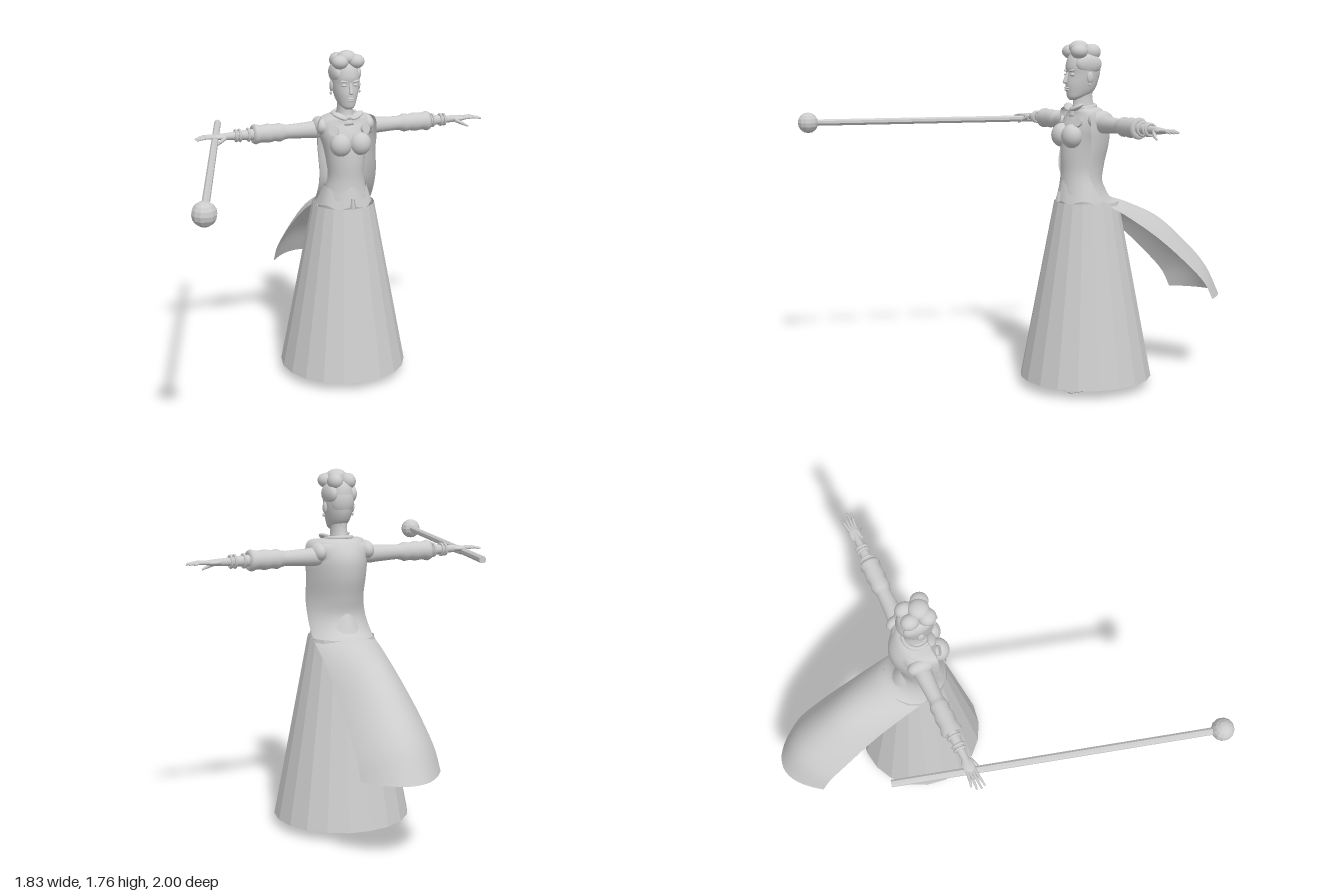
import * as THREE from 'three';
import { toCreasedNormals } from 'three/addons/utils/BufferGeometryUtils.js';

const clay = new THREE.MeshStandardMaterial({ color: 0xcccccc, side: THREE.DoubleSide });
clay.name = 'clay grey';
const V = (x, y, z) => new THREE.Vector3(x, y, z);

function add(parent, name, geometry, x = 0, y = 0, z = 0) {
  const m = new THREE.Mesh(geometry, clay);
  m.name = name;
  m.position.set(x, y, z);
  parent.add(m);
  return m;
}

// faceted look stored in the normals
function flat(geometry) {
  const g = geometry.toNonIndexed();
  g.computeVertexNormals();
  return g;
}

// ellipsoid
function blob(parent, name, x, y, z, rx, ry, rz) {
  return add(parent, name, new THREE.SphereGeometry(1, 24, 16).scale(rx, ry, rz), x, y, z);
}

// tapered limb between two points
function limb(parent, name, p, q, r1, r2, sides = 10) {
  const dir = q.clone().sub(p);
  const m = add(parent, name, new THREE.CylinderGeometry(r2, r1, dir.length(), sides));
  m.position.copy(p).add(q).multiplyScalar(0.5);
  m.quaternion.setFromUnitVectors(V(0, 1, 0), dir.normalize());
  return m;
}

// smooth skin through rows of points; closed rows wrap round and get end caps
function loft(rows, steps, closed) {
  const n = rows[0].length, pos = [], index = [];
  const curves = rows[0].map((_, j) => new THREE.CatmullRomCurve3(rows.map(r => r[j])));
  for (let i = 0; i <= steps; i++)
    for (const c of curves) pos.push(...c.getPoint(i / steps).toArray());
  const cols = closed ? n : n - 1;
  for (let i = 0; i < steps; i++)
    for (let j = 0; j < cols; j++) {
      const a = i * n + j, b = i * n + (j + 1) % n;
      index.push(a, b, b + n, a, b + n, a + n);
    }
  if (closed) for (const [row, base] of [[rows[0], 0], [rows.at(-1), steps * n]]) {
    const mid = row.reduce((s, p) => s.add(p), V(0, 0, 0)).divideScalar(n);
    const k = pos.length / 3;
    pos.push(mid.x, mid.y, mid.z);
    for (let j = 0; j < n; j++) {
      const a = base + j, b = base + (j + 1) % n;
      index.push(k, ...(base ? [a, b] : [b, a]));
    }
  }
  const g = new THREE.BufferGeometry();
  g.setAttribute('position', new THREE.Float32BufferAttribute(pos, 3));
  g.setIndex(index);
  g.computeVertexNormals();
  return g;
}

// body from levels of [height, half width, front z, back z]
function body(levels, steps = 30, n = 32) {
  return loft(levels.map(([y, w, f, b]) => Array.from({ length: n }, (_, j) => {
    const a = j / n * Math.PI * 2;
    return V(w * Math.sin(a), y, (f + b) / 2 + (f - b) / 2 * Math.cos(a));
  })), steps, true);
}

// lathe turned to run along +x from [distance, radius] pairs
function sleeve(pairs) {
  return new THREE.LatheGeometry(pairs.map(([d, r]) => new THREE.Vector2(r, d)), 20).rotateZ(-Math.PI / 2);
}

function makeArm() {
  const arm = new THREE.Group();
  arm.name = 'arm';
  arm.position.set(0, 1.345, -0.21);
  add(arm, 'sleeve', sleeve([[0.08, 0.04], [0.15, 0.045], [0.2, 0.041], [0.3, 0.036], [0.32, 0.04],
    [0.34, 0.048], [0.37, 0.043], [0.4, 0.049], [0.44, 0.044], [0.47, 0.052], [0.485, 0.045], [0.48, 0.027]]));
  add(arm, 'forearm', sleeve([[0.46, 0.029], [0.52, 0.026], [0.58, 0.02], [0.62, 0.018], [0.66, 0.015]]));
  for (const [d, r] of [[0.505, 0.03], [0.55, 0.028], [0.57, 0.027]])
    add(arm, 'bracelet', new THREE.TorusGeometry(r, 0.007, 8, 20).rotateY(Math.PI / 2), d);
  // palm, fingers and thumb
  blob(arm, 'palm', 0.655, 0, 0, 0.047, 0.014, 0.029);
  [[0.775, 0.03], [0.782, 0.01], [0.775, -0.012], [0.755, -0.033]].forEach(([tip, z], i) => {
    const root = V(0.68, 0.002, 0.018 - i * 0.012), knuckle = V(0.73, 0.004, z * 0.75);
    limb(arm, 'finger', root, knuckle, 0.008, 0.007, 8);
    limb(arm, 'fingertip', knuckle, V(tip, -0.003, z), 0.007, 0.004, 8);
  });
  limb(arm, 'thumb', V(0.63, -0.004, 0.02), V(0.665, -0.022, 0.04), 0.011, 0.008, 8);
  limb(arm, 'thumbTip', V(0.665, -0.022, 0.04), V(0.695, -0.036, 0.046), 0.008, 0.004, 8);
  return arm;
}

function makeLeg() {
  const leg = new THREE.Group();
  leg.name = 'leg';
  const shaft = body([[0.05, 0.038, -0.15, -0.25], [0.12, 0.034, -0.165, -0.245], [0.27, 0.052, -0.15, -0.27],
    [0.45, 0.05, -0.14, -0.25], [0.7, 0.065, -0.12, -0.27], [0.93, 0.07, -0.11, -0.29]]);
  // lean the leg inward towards the hip
  const p = shaft.attributes.position;
  for (let i = 0; i < p.count; i++) p.setX(i, p.getX(i) + 0.12 - 0.055 * p.getY(i));
  shaft.computeVertexNormals();
  add(leg, 'bootShaft', shaft);
  // shoe with raised heel, drawn from the side
  const s = new THREE.Shape();
  s.moveTo(-0.005, 0.012);
  s.quadraticCurveTo(-0.01, 0.035, -0.07, 0.05);
  s.quadraticCurveTo(-0.13, 0.07, -0.16, 0.11);
  s.lineTo(-0.25, 0.11);
  s.quadraticCurveTo(-0.285, 0.07, -0.272, 0.005);
  s.lineTo(-0.215, 0.005);
  s.lineTo(-0.2, 0.025);
  s.quadraticCurveTo(-0.14, 0.02, -0.1, 0.005);
  s.lineTo(-0.02, 0.005);
  const shoe = new THREE.ExtrudeGeometry(s, { depth: 0.064, bevelSize: 0.005, bevelThickness: 0.016, bevelSegments: 3, curveSegments: 8 });
  shoe.translate(0, 0, -0.032).rotateY(-Math.PI / 2);
  add(leg, 'shoe', toCreasedNormals(shoe, 0.7), 0.12);
  return leg;
}

function makeHead() {
  const head = new THREE.Group();
  head.name = 'head';
  add(head, 'neck', body([[1.38, 0.06, -0.1, -0.25], [1.43, 0.043, -0.12, -0.235], [1.48, 0.038, -0.125, -0.225], [1.54, 0.042, -0.12, -0.23]], 14));
  add(head, 'face', body([[1.462, 0.016, -0.1, -0.13], [1.475, 0.035, -0.09, -0.17], [1.5, 0.05, -0.085, -0.225],
    [1.54, 0.062, -0.082, -0.25], [1.59, 0.071, -0.088, -0.26], [1.63, 0.073, -0.084, -0.262],
    [1.68, 0.064, -0.1, -0.252], [1.715, 0.035, -0.14, -0.22]], 36));
  // features
  limb(head, 'nose', V(0, 1.6, -0.088), V(0, 1.553, -0.073), 0.006, 0.012);
  blob(head, 'noseTip', 0, 1.552, -0.073, 0.012, 0.009, 0.012);
  blob(head, 'upperLip', 0, 1.523, -0.081, 0.019, 0.005, 0.009);
  blob(head, 'lowerLip', 0, 1.513, -0.082, 0.016, 0.006, 0.009);
  for (const s of [-1, 1]) {
    blob(head, 'eye', s * 0.03, 1.588, -0.098, 0.014, 0.008, 0.012);
    const brow = blob(head, 'eyebrow', s * 0.032, 1.608, -0.095, 0.02, 0.005, 0.01);
    brow.rotation.set(0, s * 0.4, s * 0.12);
    blob(head, 'ear', s * 0.073, 1.575, -0.175, 0.009, 0.028, 0.018);
    blob(head, 'earring', s * 0.077, 1.54, -0.17, 0.006, 0.009, 0.006);
    // swept rolls of hair
    blob(head, 'frontRoll', s * 0.043, 1.702, -0.128, 0.043, 0.036, 0.043);
    blob(head, 'rearRoll', s * 0.033, 1.7, -0.208, 0.038, 0.04, 0.045);
    blob(head, 'sideHair', s * 0.05, 1.64, -0.18, 0.03, 0.05, 0.072);
  }
  blob(head, 'topRoll', 0, 1.72, -0.15, 0.05, 0.037, 0.05);
  blob(head, 'backHair', 0, 1.61, -0.205, 0.064, 0.085, 0.06);
  return head;
}

export function createModel() {
  const model = new THREE.Group();
  model.name = 'robedFigure';
  const figure = new THREE.Group();
  figure.name = 'figure';
  figure.position.x = 0.13;
  model.add(figure);

  // open faceted skirt and its waistband
  add(figure, 'skirt', flat(new THREE.CylinderGeometry(0.164, 0.338, 0.905, 20, 1, true)), 0, 0.4975, -0.198);

  // bodice
  add(figure, 'torso', body([[0.93, 0.135, -0.06, -0.32], [0.98, 0.13, -0.05, -0.3], [1.04, 0.107, -0.058, -0.26],
    [1.1, 0.094, -0.062, -0.25], [1.18, 0.1, -0.06, -0.27], [1.26, 0.114, -0.065, -0.29], [1.33, 0.135, -0.08, -0.3],
    [1.39, 0.14, -0.11, -0.28], [1.415, 0.1, -0.115, -0.26], [1.43, 0.04, -0.13, -0.23]], 40));
  for (const s of [-1, 1]) {
    blob(figure, 'bust', s * 0.052, 1.285, -0.083, 0.057, 0.06, 0.052);
    const disc = add(figure, 'brooch', new THREE.CylinderGeometry(0.026, 0.026, 0.014, 18).rotateX(Math.PI / 2), s * 0.085, 1.357, -0.098);
    disc.rotation.set(-0.3, s * 0.4, 0);
    blob(figure, 'shoulder', s * 0.125, 1.365, -0.205, 0.04, 0.048, 0.07);
    // collar wings
    const wing = blob(figure, 'collarWing', s * 0.045, 1.427, -0.115, 0.042, 0.012, 0.022);
    wing.rotation.set(0.3, s * 0.5, s * 0.25);
  }
  // flared hip panel with pointed upper edge
  const hip = [0, 1, 2, 3].map(i => Array.from({ length: 49 }, (_, j) => {
    const a = j / 48 * Math.PI * 2, t = i / 3;
    const top = 1.045 + 0.014 * Math.cos(a * 4), y = 0.955 + 0.008 * Math.cos(a * 6) + (top - 0.955) * t;
    const w = 0.145 - 0.033 * t, d = 0.142 - 0.035 * t;
    return V(w * Math.sin(a), y, -0.18 + 0.012 * t + d * Math.cos(a));
  }));
  add(figure, 'hipPanel', loft(hip, 10, false));
  limb(figure, 'buckle', V(0, 0.955, -0.036), V(0, 1.005, -0.042), 0.016, 0.009, 4);
  add(figure, 'collar', new THREE.TorusGeometry(0.062, 0.011, 10, 28).rotateX(Math.PI / 2 + 0.12), 0, 1.425, -0.175);

  // wrap-round back vest that trails into a cape: [half width, back z, back y, edge z, edge y]
  const cape = [[0.07, -0.235, 1.432, -0.14, 1.425], [0.145, -0.27, 1.412, -0.13, 1.412], [0.16, -0.312, 1.34, -0.13, 1.33],
    [0.156, -0.312, 1.25, -0.135, 1.24], [0.154, -0.285, 1.14, -0.12, 1.13], [0.155, -0.272, 1.05, -0.15, 1.04],
    [0.16, -0.315, 0.975, -0.22, 0.95], [0.165, -0.41, 0.94, -0.33, 0.885], [0.175, -0.61, 0.85, -0.51, 0.765],
    [0.19, -0.77, 0.72, -0.665, 0.635], [0.2, -0.905, 0.58, -0.8, 0.5], [0.203, -1, 0.41, -0.85, 0.41]];
  add(figure, 'cape', loft(cape.map(([w, bz, by, ez, ey], i) => Array.from({ length: 25 }, (_, j) => {
    const a = (j / 24 - 0.5) * Math.PI, k = Math.pow(Math.max(0, Math.cos(a)), 1 + Math.min(1, i / 8));
    return V(-w * Math.sin(a), ey + (by - ey) * k, ez + (bz - ez) * k).setX(w * Math.sin(a));
  })), 55, false));

  figure.add(makeHead());
  for (const s of [-1, 1]) {
    const arm = makeArm(), leg = makeLeg();
    arm.scale.x = leg.scale.x = s;
    figure.add(arm, leg);
  }

  // staff held in the right hand
  const staff = new THREE.Group();
  staff.name = 'staff';
  model.add(staff);
  const rod = limb(staff, 'staffRod', V(-0.865, 1.322, 0.94), V(-0.45, 1.332, -0.565), 0.018, 0.018, 8);
  rod.geometry = flat(rod.geometry);
  add(staff, 'staffOrb', flat(new THREE.SphereGeometry(0.055, 12, 8)), -0.865, 1.322, 0.943);
  return model;
}
